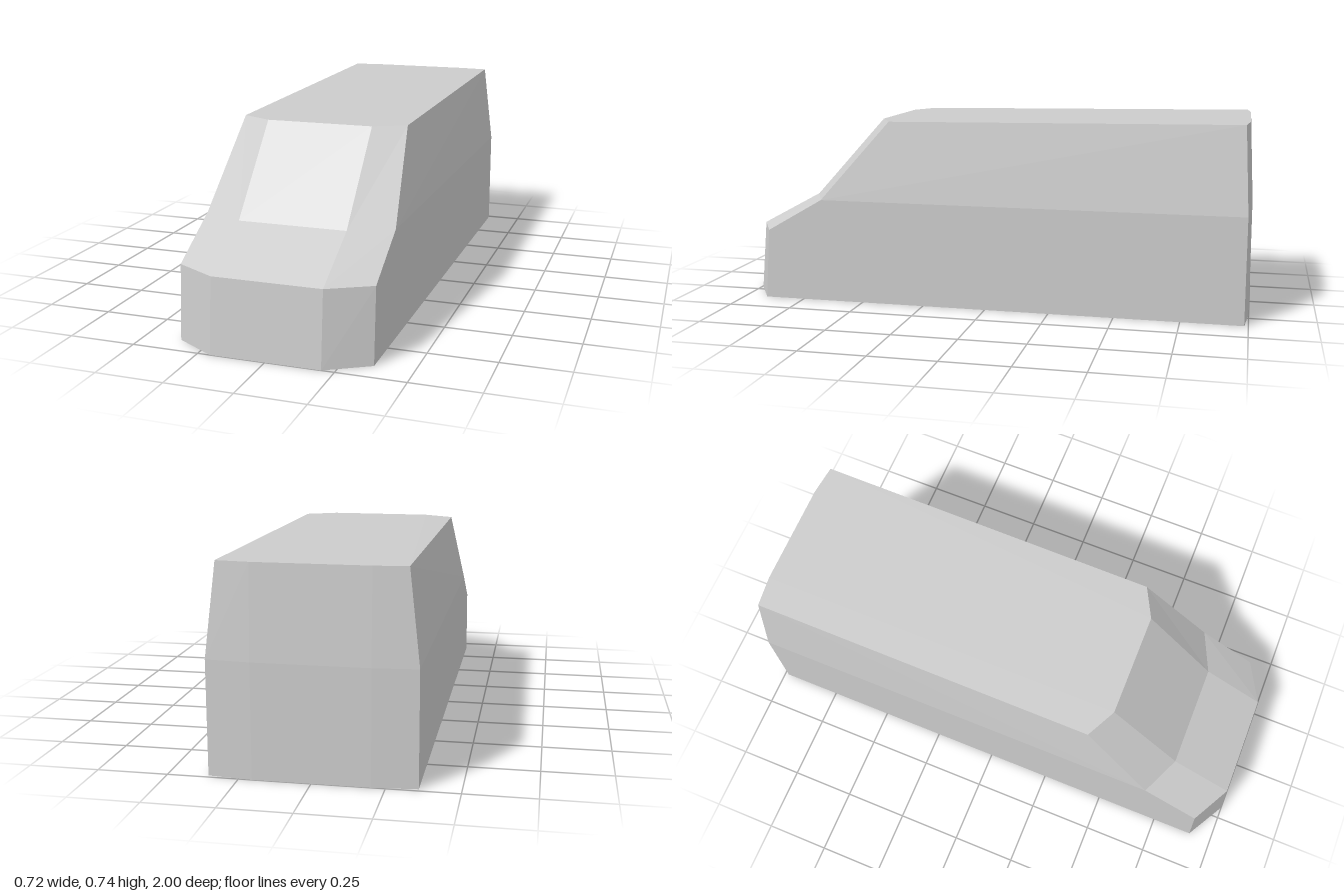
import * as THREE from 'three';

// Side profiles as [z, y]: nose, bonnet, windscreen, roof, tail, floor
const centreProfile = [[1, 0], [0.975, 0.277], [0.735, 0.407], [0.45, 0.72], [-0.98, 0.738], [-0.998, 0.407], [-1, 0]];
const edgeProfile = [[0.91, 0], [0.89, 0.277], [0.665, 0.407], [0.39, 0.72], [-0.967, 0.738], [-0.985, 0.407], [-0.985, 0]];

// Straight up to the beltline, tapering inward above it
const sideX = (y) => (y > 0.41 ? 0.321 : 0.359);

// One cross-section of the body at the given side
const edge = (side) => edgeProfile.map(([z, y]) => [side * sideX(y), y, z]);
const centre = (side) => centreProfile.map(([z, y]) => [side * 0.203, y, z]);

function bodyGeometry() {
  const sections = [edge(-1), centre(-1), centre(1), edge(1)];
  const n = centreProfile.length;
  const index = [];

  // Skin between neighbouring sections: nose, windscreen, roof, tail and floor
  for (let s = 0; s < sections.length - 1; s++) {
    for (let i = 0; i < n; i++) {
      const j = (i + 1) % n;
      const a = s * n + i, b = a + n, d = s * n + j, c = d + n;
      // The diagonal is mirrored from one side to the other
      if (s === 0) index.push(a, b, d, b, c, d);
      else index.push(a, b, c, a, c, d);
    }
  }

  // Side walls: panel below the beltline and tapered panel above it
  const wall = [[0, 1, 2], [0, 2, 5], [0, 5, 6], [2, 3, 4], [2, 4, 5]];
  const last = (sections.length - 1) * n;
  for (const [a, b, c] of wall) {
    index.push(a, b, c);
    index.push(last + a, last + c, last + b);
  }

  const geometry = new THREE.BufferGeometry();
  geometry.setAttribute('position', new THREE.Float32BufferAttribute(sections.flat(2), 3));
  geometry.setIndex(index);
  const faceted = geometry.toNonIndexed();
  faceted.computeVertexNormals();
  return faceted;
}

export function createModel() {
  const group = new THREE.Group();
  group.name = 'van';
  const material = new THREE.MeshStandardMaterial({ color: 0xcccccc, flatShading: true });
  const body = new THREE.Mesh(bodyGeometry(), material);
  body.name = 'vanBody';
  group.add(body);
  return group;
}
